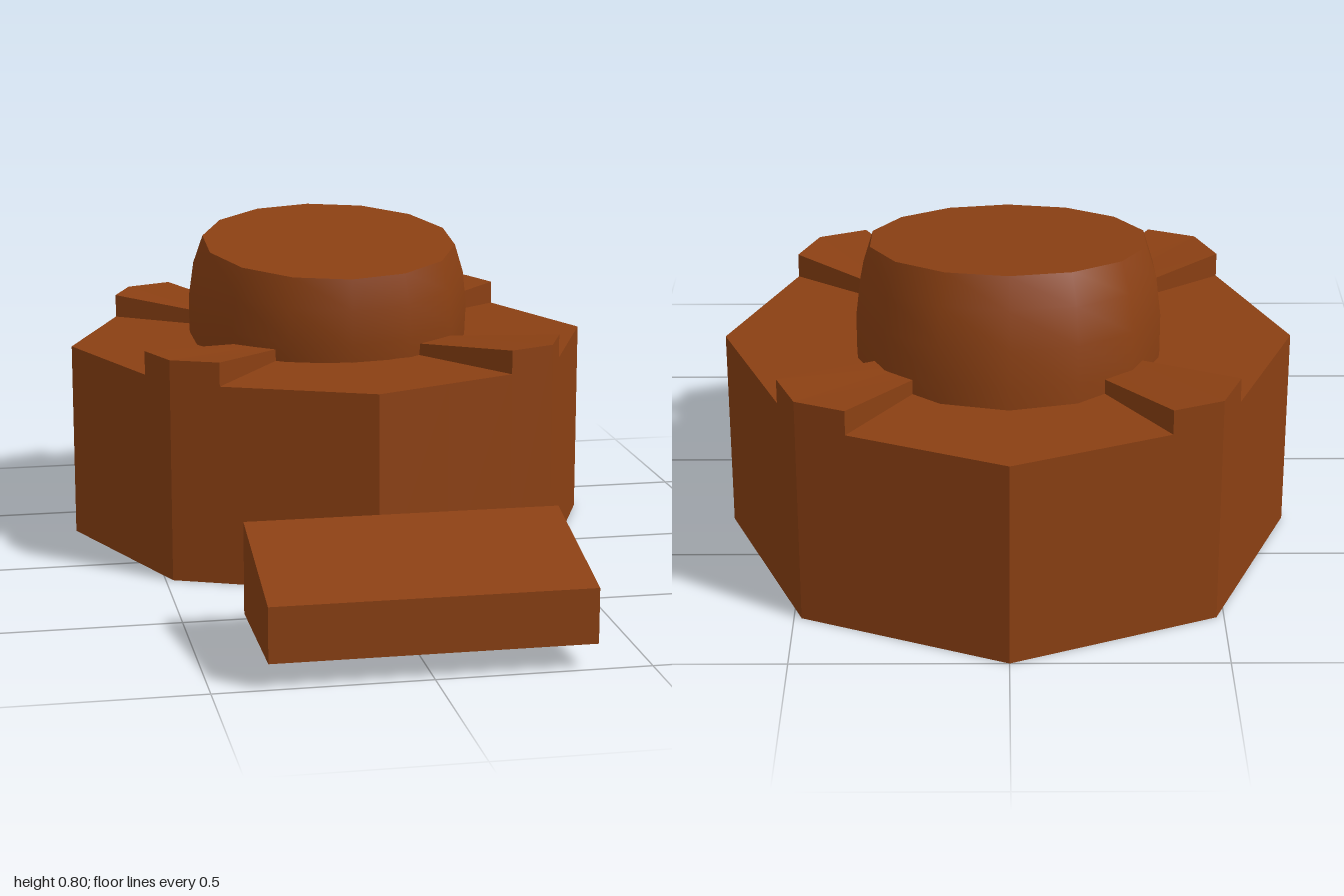
import * as THREE from 'three';

const material = new THREE.MeshStandardMaterial({ color: 0x8b4013, side: THREE.DoubleSide });

// Flat-shaded mesh from four-cornered faces (corners counter-clockwise from outside)
function quadMesh(name, quads) {
  const pos = [];
  for (const [a, b, c, d] of quads) pos.push(...a, ...b, ...c, ...a, ...c, ...d);
  const geometry = new THREE.BufferGeometry();
  geometry.setAttribute('position', new THREE.Float32BufferAttribute(pos, 3));
  geometry.computeVertexNormals();
  const mesh = new THREE.Mesh(geometry, material);
  mesh.name = name;
  return mesh;
}

const CENTRE_Z = -0.318, RADIUS = 0.682, INNER = 0.327;
const BASE_TOP = 0.5, RIDGE_OUT = 0.56, RIDGE_IN = 0.53;
const STEP = Math.PI / 4, RIDGE_HALF = THREE.MathUtils.degToRad(10.4);

// Point at an angle from the front, turning towards +x
const polar = (a, r, y) => [r * Math.sin(a), y, CENTRE_Z + r * Math.cos(a)];

// Distance to the octagon's edge at an angle off one of its corners
const edgeRadius = (off) => RADIUS * Math.cos(STEP / 2) / Math.cos(STEP / 2 - Math.abs(off));

function createBase() {
  const group = new THREE.Group();
  group.name = 'octagonalBase';
  const walls = [], roof = [], ridges = [];
  for (let i = 0; i < 8; i++) {
    const isRidge = i % 2 === 1;
    const half = isRidge ? RIDGE_HALF : STEP - RIDGE_HALF;
    const yOut = isRidge ? RIDGE_OUT : BASE_TOP;
    const yIn = isRidge ? RIDGE_IN : BASE_TOP;
    const n = isRidge ? 2 : 4;
    const outer = (off, y) => polar(i * STEP + off, edgeRadius(off), y);
    const inner = (off, y) => polar(i * STEP + off, INNER, y);
    for (let k = 0; k < n; k++) {
      const a = half * (2 * k / n - 1), b = half * (2 * (k + 1) / n - 1);
      walls.push([outer(a, 0), outer(b, 0), outer(b, yOut), outer(a, yOut)]);
      (isRidge ? ridges : roof).push([outer(a, yOut), outer(b, yOut), inner(b, yIn), inner(a, yIn)]);
    }
    // Upright sides of each raised ridge
    if (isRidge) {
      for (const s of [-1, 1]) {
        const side = [inner(s * half, BASE_TOP), outer(s * half, BASE_TOP), outer(s * half, yOut), inner(s * half, yIn)];
        ridges.push(s < 0 ? side : side.reverse());
      }
    }
  }
  group.add(quadMesh('baseWalls', walls), quadMesh('baseRoof', roof), quadMesh('cornerRidges', ridges));
  return group;
}

// Tilted barrel-shaped dome with a flat top
function createDome() {
  const group = new THREE.Group();
  group.name = 'tiltedDome';
  const profile = [[0.36, -0.07], [0.367, 0], [0.368, 0.09], [0.357, 0.18], [0.333, 0.255]]
    .map(([r, y]) => new THREE.Vector2(r, y));
  const side = new THREE.Mesh(new THREE.LatheGeometry(profile, 14), material);
  side.name = 'domeSide';
  const cap = new THREE.Mesh(new THREE.CircleGeometry(0.333, 14, Math.PI / 2), material);
  cap.name = 'domeTop';
  cap.rotation.x = -Math.PI / 2;
  cap.position.y = 0.255;
  group.add(side, cap);
  group.rotation.x = THREE.MathUtils.degToRad(7.7);
  group.position.set(0, 0.505, -0.36);
  return group;
}

// Sloping block in front, open underneath
function createFrontStep() {
  const w = 0.373;
  const outline = [[0.64, 0.06], [0.64, 0.28], [1, 0.19], [1, 0.06]];
  const at = (x) => outline.map(([z, y]) => [x, y, z]);
  const L = at(w), R = at(-w);
  const quads = [0, 1, 2].map((k) => [R[k], R[k + 1], L[k + 1], L[k]]);
  quads.push([...L], [...R].reverse());
  return quadMesh('frontStep', quads);
}

export function createModel() {
  const model = new THREE.Group();
  model.name = 'model';
  model.add(createBase(), createDome(), createFrontStep());
  return model;
}
